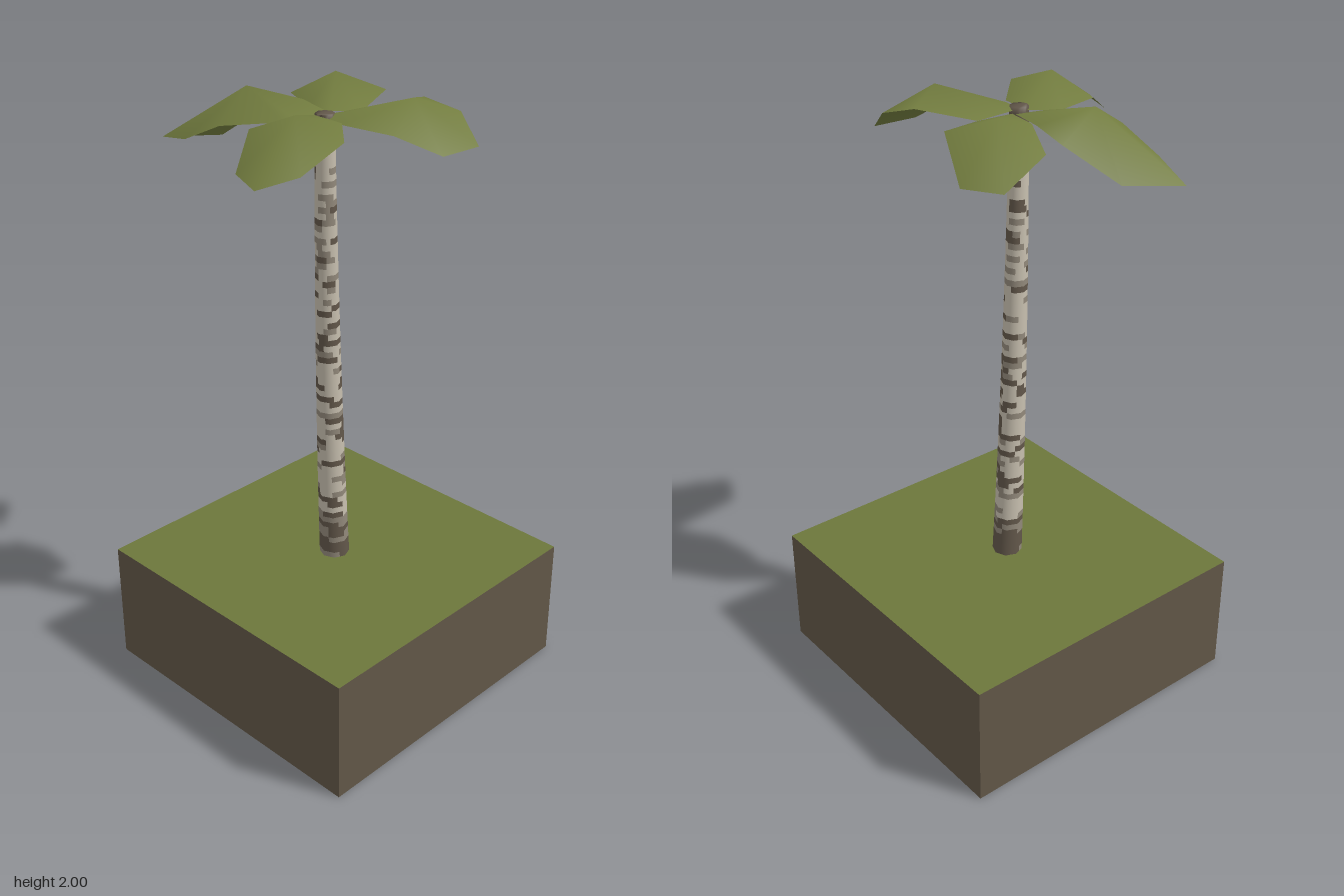
import * as THREE from 'three';

const mat = (name, color) => {
  const m = new THREE.MeshStandardMaterial({ color, side: THREE.DoubleSide });
  m.name = name;
  return m;
};

// Small seeded generator for the bark patches
function seeded(seed) {
  return () => {
    seed = (seed * 16807) % 2147483647;
    return seed / 2147483647;
  };
}

function meshFrom(name, positions, index, material) {
  const g = new THREE.BufferGeometry();
  g.setAttribute('position', new THREE.Float32BufferAttribute(positions, 3));
  g.setIndex(index);
  g.computeVertexNormals();
  const m = new THREE.Mesh(g, material);
  m.name = name;
  return m;
}

// Leaf: outline points (clockwise from above) fanned around a raised middle
function makeLeaf(name, peak, outline, material) {
  const index = [];
  const n = outline.length;
  for (let i = 0; i < n; i++) index.push(0, ((i + 1) % n) + 1, i + 1);
  return meshFrom(name, [peak, ...outline].flat(), index, material);
}

// Trunk: leaning, tapering eight-sided tube whose cells are sorted by bark colour
function makeTrunk(materials) {
  const rows = 78, sides = 8, split = 2, cols = sides * split;
  const y0 = 0.4, y1 = 1.95;
  const rand = seeded(4711);
  const pos = [];
  for (let r = 0; r <= rows; r++) {
    const t = r / rows;
    const radius = 0.05 - 0.021 * t;
    const cx = 0.002 + 0.012 * t + 0.021 * t * t;
    const cz = 0.01 + 0.085 * t - 0.013 * t * t;
    for (let c = 0; c < cols; c++) {
      const k = Math.floor(c / split), f = (c % split) / split;
      const a = (k / sides) * Math.PI * 2, b = ((k + 1) / sides) * Math.PI * 2;
      pos.push(
        cx + radius * (Math.sin(a) * (1 - f) + Math.sin(b) * f),
        y0 + (y1 - y0) * t,
        cz + radius * (Math.cos(a) * (1 - f) + Math.cos(b) * f));
    }
  }
  const lists = materials.map(() => []);
  for (let r = 0; r < rows; r++) {
    const t = r / rows;
    const shift = Math.floor(rand() * cols);
    let left = 0, kind = 0;
    for (let i = 0; i < cols; i++) {
      // Each run of cells in a row shares one colour
      if (left-- <= 0) {
        left = 1 + Math.floor(rand() * 4);
        const v = rand();
        const dark = t < 0.09 ? 0.8 : t > 0.93 ? 0.95 : 0.24 - 0.06 * t;
        kind = v < dark ? 2 : v < dark + 0.26 - 0.12 * t ? 1 : 0;
      }
      const c = (i + shift) % cols, d = (c + 1) % cols;
      const a = r * cols + c, b = r * cols + d;
      lists[kind].push(a, b, b + cols, a, b + cols, a + cols);
    }
  }
  // Closed top
  const top = rows * cols;
  for (let c = 1; c < cols - 1; c++) lists[2].push(top, top + c, top + c + 1);

  const trunk = meshFrom('trunk', pos, lists.flat(), materials);
  let start = 0;
  lists.forEach((list, i) => {
    trunk.geometry.addGroup(start, list.length, i);
    start += list.length;
  });
  return trunk;
}

export function createModel() {
  const model = new THREE.Group();
  model.name = 'palmOnSoilBlock';

  const grass = mat('grass green', 0x6c773b);
  const leaf = mat('leaf green', 0x727c3f);
  const soil = mat('soil brown', 0x625747);
  const barkLight = mat('pale bark', 0xc6beae);
  const barkMid = mat('grey bark', 0x91887a);
  const barkDark = mat('dark bark', 0x62574a);

  // Soil block, open underneath
  const size = 1.05, height = 0.42;
  for (let i = 0; i < 4; i++) {
    const wall = new THREE.Mesh(new THREE.PlaneGeometry(size, height), soil);
    wall.geometry.translate(0, height / 2, size / 2);
    wall.rotation.y = (i * Math.PI) / 2;
    wall.name = 'soilWall';
    model.add(wall);
  }
  const lawn = new THREE.Mesh(new THREE.PlaneGeometry(size, size), grass);
  lawn.rotation.x = -Math.PI / 2;
  lawn.position.y = height;
  lawn.name = 'grassTop';
  model.add(lawn);

  model.add(makeTrunk([barkLight, barkMid, barkDark]));

  // Four drooping leaves
  const leaves = new THREE.Group();
  leaves.name = 'leaves';
  leaves.add(
    makeLeaf('backRightLeaf', [-0.14, 2.0, -0.14], [
      [0.01, 1.94, 0.035], [-0.085, 1.935, 0.03], [-0.275, 1.92, -0.08], [-0.305, 1.855, -0.25],
      [-0.195, 1.855, -0.315], [-0.015, 1.95, -0.23], [0.045, 1.93, -0.065]], leaf),
    makeLeaf('backLeftLeaf', [0.23, 2.0, -0.08], [
      [0.03, 1.94, 0.05], [0.045, 1.93, -0.065], [0.16, 1.965, -0.205], [0.265, 1.935, -0.245],
      [0.37, 1.86, -0.205], [0.36, 1.86, -0.06], [0.285, 1.93, 0.065], [0.12, 1.935, 0.1],
      [0.035, 1.94, 0.085]], leaf),
    makeLeaf('frontLeftLeaf', [0.12, 2.0, 0.28], [
      [0.01, 1.94, 0.09], [0.12, 1.94, 0.1], [0.265, 1.945, 0.24], [0.25, 1.88, 0.39],
      [0.2, 1.86, 0.51], [0.06, 1.86, 0.45], [-0.025, 1.94, 0.32], [-0.03, 1.93, 0.19]], leaf),
    makeLeaf('frontRightLeaf', [-0.22, 1.995, 0.15], [
      [0.0, 1.94, 0.04], [0.0, 1.93, 0.15], [-0.03, 1.93, 0.185], [-0.185, 1.91, 0.29],
      [-0.325, 1.845, 0.305], [-0.485, 1.81, 0.26], [-0.37, 1.81, 0.12], [-0.245, 1.92, 0.005],
      [-0.13, 1.945, 0.01]], leaf));
  model.add(leaves);

  return model;
}
